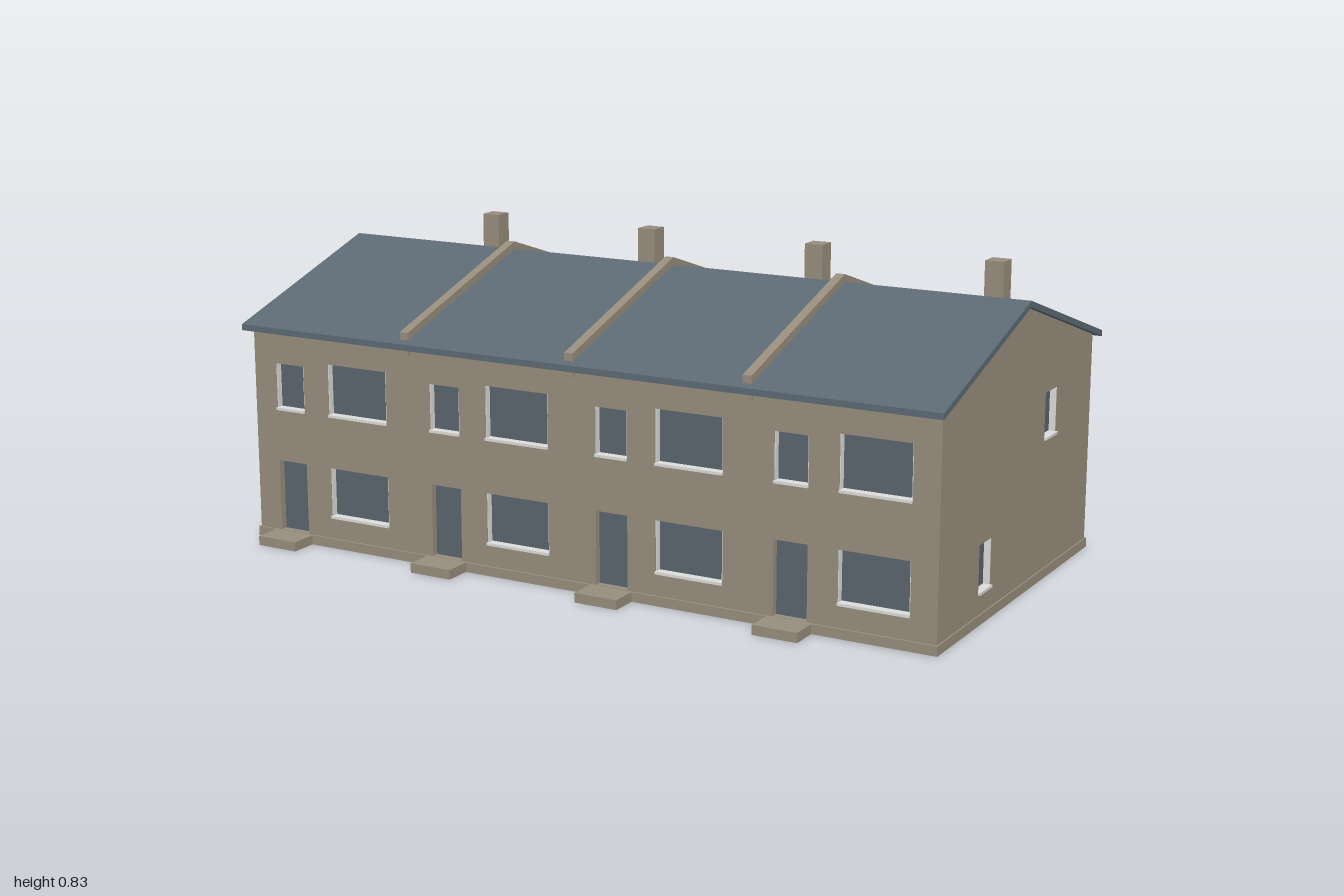
import * as THREE from 'three';

const mat = (name, color) => new THREE.MeshStandardMaterial({ name, color });

export function createModel() {
  const wall = mat('wall render', 0x968d7c);
  const roofing = mat('roof slate', 0x5c6a73);
  const glass = mat('window glass', 0x5a646d);
  const trim = mat('white trim', 0xdcdcda);

  const W = 0.985, D = 0.4925;      // half width and half depth of the walls
  const BASE = 0.025, SKIN = 0.018; // plinth height, wall skin thickness
  const PITCH = 0.492;              // width of one house
  const under = z => 0.735 - 0.32 * Math.abs(z); // underside of the roof

  const model = new THREE.Group();
  model.name = 'terraceHouses';
  const house = new THREE.Group();
  house.name = 'building';
  house.position.z = -0.0225;
  model.add(house);

  const add = (name, geo, material, parent = house) => {
    const m = new THREE.Mesh(geo, material);
    m.name = name;
    parent.add(m);
    return m;
  };
  const box = (name, x0, x1, y0, y1, z0, z1, material, parent) => {
    const m = add(name, new THREE.BoxGeometry(x1 - x0, y1 - y0, z1 - z0), material, parent);
    m.position.set((x0 + x1) / 2, (y0 + y1) / 2, (z0 + z1) / 2);
    return m;
  };
  const polygon = pts => new THREE.Shape(pts.map(p => new THREE.Vector2(...p)));
  const extrude = (shape, depth) => new THREE.ExtrudeGeometry(shape, { depth, bevelEnabled: false });
  // Symmetric cross-section swept along x, centred on x
  const sweep = (name, pts, width, x, material) => {
    const geo = extrude(polygon(pts), width).translate(0, 0, -width / 2).rotateY(Math.PI / 2);
    add(name, geo, material).position.x = x;
  };

  // Wall skin with openings [x0, x1, y0, y1, hasSill], turned to face outwards
  const facade = (name, outline, openings, angle, dist) => {
    const g = new THREE.Group();
    g.name = name;
    g.rotation.y = angle;
    g.position.set(Math.sin(angle) * dist, 0, Math.cos(angle) * dist);
    house.add(g);
    const shape = polygon(outline);
    for (const [x0, x1, y0, y1, sill] of openings) {
      shape.holes.push(new THREE.Path(
        [[x0, y0], [x0, y1], [x1, y1], [x1, y0]].map(p => new THREE.Vector2(...p))));
      if (!sill) continue;
      box('windowSill', x0, x1, y0 - 0.004, y0 + 0.003, -SKIN, 0.006, trim, g);
      box('windowJamb', x0, x0 + 0.002, y0, y1, -SKIN, -0.001, trim, g);
      box('windowJamb', x1 - 0.002, x1, y0, y1, -SKIN, -0.001, trim, g);
    }
    add('wallSkin', extrude(shape, SKIN).translate(0, 0, -SKIN), wall, g);
  };

  // Dark core that shows as glass and doors behind the openings
  const cz = D - SKIN;
  sweep('glazing', [[-cz, BASE], [cz, BASE], [cz, under(cz)], [0, under(0)], [-cz, under(cz)]],
    2 * (W - SKIN), 0, glass);

  // Four houses: openings on the long walls, steps and chimneys
  const front = [], back = [];
  for (let i = 0; i < 4; i++) {
    const x = i * PITCH;
    front.push(
      [x - 0.915, x - 0.825, BASE + 0.001, 0.217, false],
      [x - 0.915, x - 0.825, 0.36, 0.482, true],
      [x - 0.745, x - 0.56, 0.085, 0.217, true],
      [x - 0.745, x - 0.56, 0.36, 0.497, true]);
    back.push(
      [x - 0.92, x - 0.705, BASE + 0.001, 0.217, false],
      [x - 0.92, x - 0.74, 0.36, 0.497, true],
      [x - 0.66, x - 0.545, 0.085, 0.217, true],
      [x - 0.66, x - 0.545, 0.36, 0.497, true]);
    box('doorStep', x - 0.93, x - 0.81, 0, BASE, D - 0.01, 0.5725, wall);
    box('chimney', x - 0.626, x - 0.576, 0.6, 0.826, -0.118, -0.068, wall);
  }
  const ends = [[-0.2475, -0.1725, 0.08, 0.2, true], [0.1625, 0.2425, 0.37, 0.488, true]];

  const wf = W - SKIN, top = under(D);
  const longWall = [[-wf, BASE], [wf, BASE], [wf, top], [-wf, top]];
  const gable = [[-D, BASE], [D, BASE], [D, top], [0, under(0)], [-D, top]];
  facade('frontWall', longWall, front, 0, D);
  facade('backWall', longWall, back, Math.PI, D);
  facade('leftGable', gable, ends, Math.PI / 2, W);
  facade('rightGable', gable, ends, -Math.PI / 2, W);

  // Plinth
  box('plinth', -W - 0.004, W + 0.004, 0, BASE, -D - 0.006, D + 0.006, wall);

  // Pitched roof slab
  const e = 0.5225, t = 0.016;
  sweep('roof', [[-e, under(e)], [0, under(0)], [e, under(e)],
    [e, under(e) + t], [0, under(0) + t], [-e, under(e) + t]], 2, 0, roofing);

  // Party walls rising through the roof
  for (const x of [-PITCH, 0, PITCH]) {
    sweep('partyWall', [[-0.5025, 0.55], [0.5025, 0.55], [0.5025, 0.61], [0, 0.771], [-0.5025, 0.61]],
      0.024, x, wall);
  }
  return model;
}
